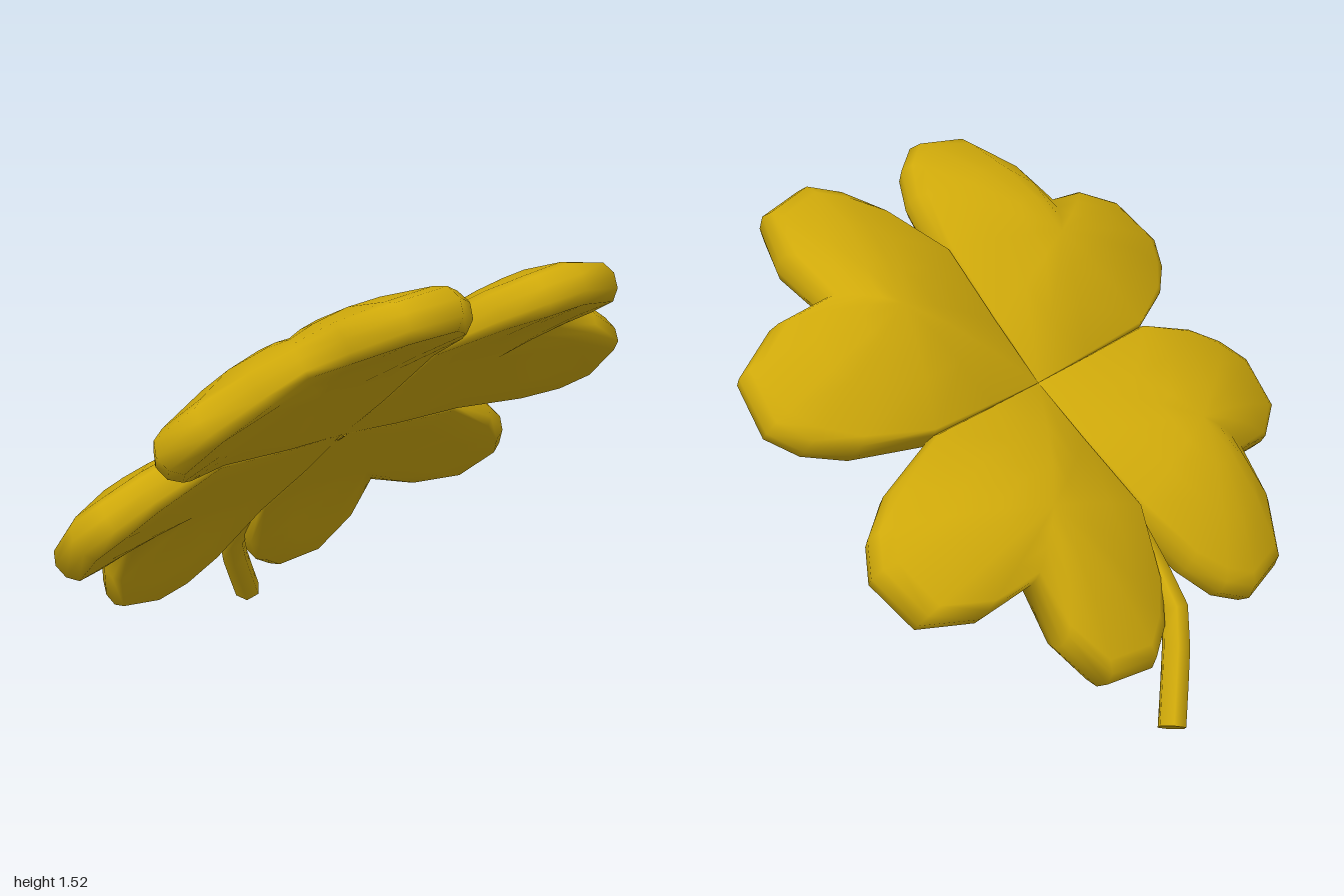
import * as THREE from 'three';

const GOLD = new THREE.MeshStandardMaterial({ color: 0xcfa90a, side: THREE.DoubleSide });

// Half of the heart outline: [across, along, rim height, rim half thickness, rim roundness]
const HALF = [
  [-0.003, -0.003, -0.01, 0.03, 0.1], [-0.003, 0.25, -0.005, 0.045, 0.2], [-0.003, 0.55, 0.01, 0.06, 0.3],
  [0.08, 0.8, -0.035, 0.072, 0.7], [0.17, 0.93, -0.06, 0.078, 1], [0.28, 1.0, -0.07, 0.08, 1],
  [0.48, 0.96, -0.07, 0.075, 1], [0.57, 0.78, -0.03, 0.07, 1], [0.57, 0.57, 0.02, 0.06, 0.8],
];
const MID = 0.41;      // middle of the leaf on its diagonal
const PEAK = 0.155;    // height of the domed top
const HOLLOW = -0.055; // height of the underside middle

// Rings from the underside middle, round the rim, to the top: [scale, side, blend to middle]
const RINGS = [[0.35, -1, 0.75], [0.65, -1, 0.4], [0.9, -1, 0], [0.97, -0.65, 0], [1, 0, 0],
  [0.97, 0.65, 0], [0.9, 1, 0], [0.6, 1, 0.54], [0.3, 1, 0.88]];

// A puffy heart leaf in the quadrant given by sx and sz
function leafGeometry(sx, sz) {
  const mirrored = HALF.slice(1, -1).reverse().map(([u, v, ...rest]) => [v, u, ...rest]);
  const outline = [...HALF, ...mirrored];
  const n = outline.length, pos = [], index = [];
  for (const [scale, side, blend] of RINGS) {
    for (const [u, v, mid, half, round] of outline) {
      const s = blend ? scale : 1 - (1 - scale) * round;
      const y = THREE.MathUtils.lerp(mid + half * side, side > 0 ? PEAK : HOLLOW, blend);
      pos.push(sx * (MID + (u - MID) * s), y, sz * (MID + (v - MID) * s));
    }
  }
  const under = pos.length / 3, top = under + 1;
  pos.push(sx * MID, HOLLOW, sz * MID, sx * MID, PEAK, sz * MID);
  const tri = (a, b, c) => (sx * sz > 0 ? index.push(a, b, c) : index.push(a, c, b));
  const last = (RINGS.length - 1) * n;
  for (let i = 0; i < n; i++) {
    const j = (i + 1) % n;
    tri(under, j, i);
    tri(top, last + i, last + j);
    for (let r = 0; r < last; r += n) {
      tri(r + i, r + j, r + n + j);
      tri(r + i, r + n + j, r + n + i);
    }
  }
  const geo = new THREE.BufferGeometry();
  geo.setAttribute('position', new THREE.Float32BufferAttribute(pos, 3));
  geo.setIndex(index);
  geo.computeVertexNormals();
  return geo;
}

// A six-sided stalk that thickens toward its cut end
function makeStem() {
  const stem = new THREE.Group();
  stem.name = 'stem';
  const path = new THREE.CatmullRomCurve3([
    [0, 0.885, 0.05], [0, 0.765, -0.15], [0.012, 0.595, -0.36], [0.1, 0.32, -0.655], [0.305, 0.035, -0.8],
  ].map((p) => new THREE.Vector3(...p)), false, 'catmullrom', 0.2);
  const steps = 10, sides = 6, radius = 0.05;
  const geo = new THREE.TubeGeometry(path, steps, radius, sides);
  const p = geo.attributes.position, v = new THREE.Vector3();
  for (let i = 0; i < p.count; i++) {
    const t = Math.floor(i / (sides + 1)) / steps;
    const c = path.getPointAt(t);
    v.fromBufferAttribute(p, i).sub(c).multiplyScalar(Math.min(1, 0.35 + t * 0.9)).add(c);
    p.setXYZ(i, v.x, v.y, v.z);
  }
  const stalk = new THREE.Mesh(geo, GOLD);
  stalk.name = 'stalk';

  // Flat end using the last ring of the stalk
  const end = [];
  const first = steps * (sides + 1);
  const corner = (i) => end.push(p.getX(first + i), p.getY(first + i), p.getZ(first + i));
  for (let i = 1; i < sides - 1; i++) [0, i, i + 1].forEach(corner);
  const capGeo = new THREE.BufferGeometry();
  capGeo.setAttribute('position', new THREE.Float32BufferAttribute(end, 3));
  capGeo.computeVertexNormals();
  const cap = new THREE.Mesh(capGeo, GOLD);
  cap.name = 'stemEnd';
  stem.add(stalk, cap);
  return stem;
}

export function createModel() {
  const model = new THREE.Group();
  model.name = 'fourLeafClover';

  // Four mirrored leaves on a plane that slopes down to the back
  const leaves = new THREE.Group();
  leaves.name = 'leaves';
  leaves.position.set(0, 0.907, 0.025);
  leaves.rotation.x = THREE.MathUtils.degToRad(-40);
  for (const [sx, sz, name] of [[1, 1, 'frontLeftLeaf'], [-1, 1, 'frontRightLeaf'],
    [1, -1, 'backLeftLeaf'], [-1, -1, 'backRightLeaf']]) {
    const leaf = new THREE.Mesh(leafGeometry(sx, sz), GOLD);
    leaf.name = name;
    leaves.add(leaf);
  }
  model.add(leaves, makeStem());
  return model;
}
